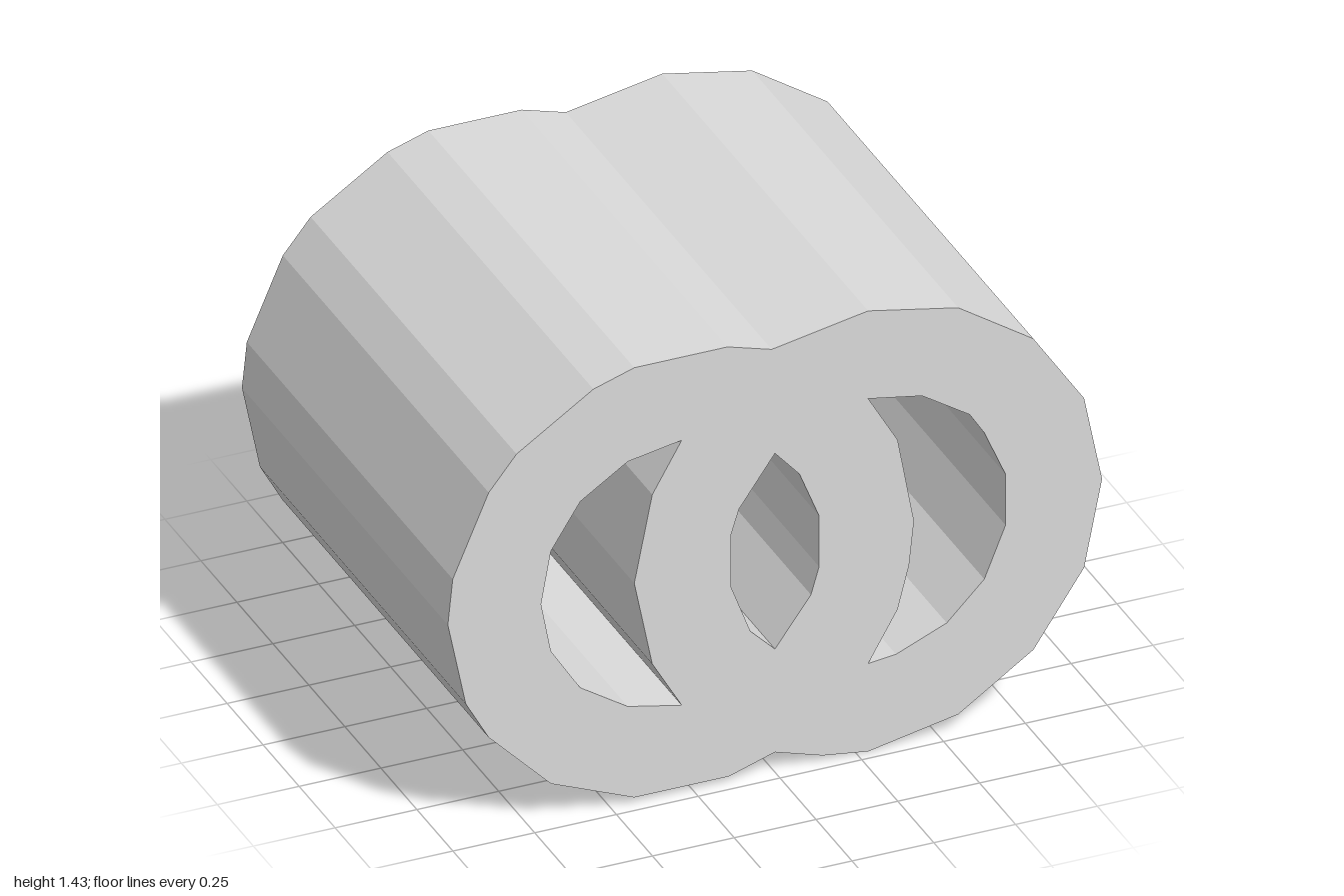
import * as THREE from 'three';

const DEPTH = 1.43;

// Turn [x, y] pairs into 2D points
const points = (pairs) => pairs.map(([x, y]) => new THREE.Vector2(x, y));

// Outer outline of the two overlapping tubes, counter-clockwise
const outline = [
  [-0.555, 1.375], [-0.79, 1.22], [-0.875, 1.115], [-0.985, 0.86], [-1, 0.715], [-0.945, 0.445],
  [-0.875, 0.32], [-0.685, 0.125], [-0.43, 0.02], [-0.14, 0.02], [0, 0.065], [0.145, 0.02],
  [0.285, 0], [0.56, 0.055], [0.79, 0.21], [0.945, 0.44], [1, 0.715], [0.945, 0.99],
  [0.79, 1.22], [0.56, 1.375], [0.285, 1.43], [-0.01, 1.375], [-0.145, 1.415], [-0.43, 1.415],
];

// Crescent bore on the -x side
const crescentA = [
  [-0.285, 1.145], [-0.45, 1.115], [-0.595, 1.02], [-0.685, 0.88], [-0.715, 0.715], [-0.685, 0.555],
  [-0.595, 0.415], [-0.45, 0.32], [-0.285, 0.285], [-0.375, 0.44], [-0.43, 0.715], [-0.375, 0.99],
];

// Lens bore in the middle
const lens = [
  [0, 1.035], [0.075, 0.95], [0.135, 0.8], [0.135, 0.635], [0.11, 0.55],
  [0, 0.4], [-0.075, 0.475], [-0.135, 0.635], [-0.135, 0.8], [-0.11, 0.88],
];

// Crescent bore on the +x side
const crescentB = [
  [0.285, 1.145], [0.45, 1.115], [0.595, 1.02], [0.64, 0.95], [0.705, 0.8], [0.705, 0.635], [0.64, 0.475],
  [0.525, 0.36], [0.37, 0.295], [0.285, 0.285], [0.375, 0.44], [0.41, 0.575], [0.425, 0.715], [0.375, 0.99],
];

export function createModel() {
  const group = new THREE.Group();
  group.name = 'interlockedTubes';

  const grey = new THREE.MeshStandardMaterial({ color: 0xd9d9d9 });
  grey.name = 'light grey';

  // One faceted extrusion along z with three through holes
  const shape = new THREE.Shape(points(outline));
  for (const hole of [crescentA, lens, crescentB]) shape.holes.push(new THREE.Path(points(hole)));
  const geometry = new THREE.ExtrudeGeometry(shape, { depth: DEPTH, bevelEnabled: false });
  geometry.translate(0, 0, -DEPTH / 2);

  const body = new THREE.Mesh(geometry, grey);
  body.name = 'doubleTubeBody';
  group.add(body);
  return group;
}
